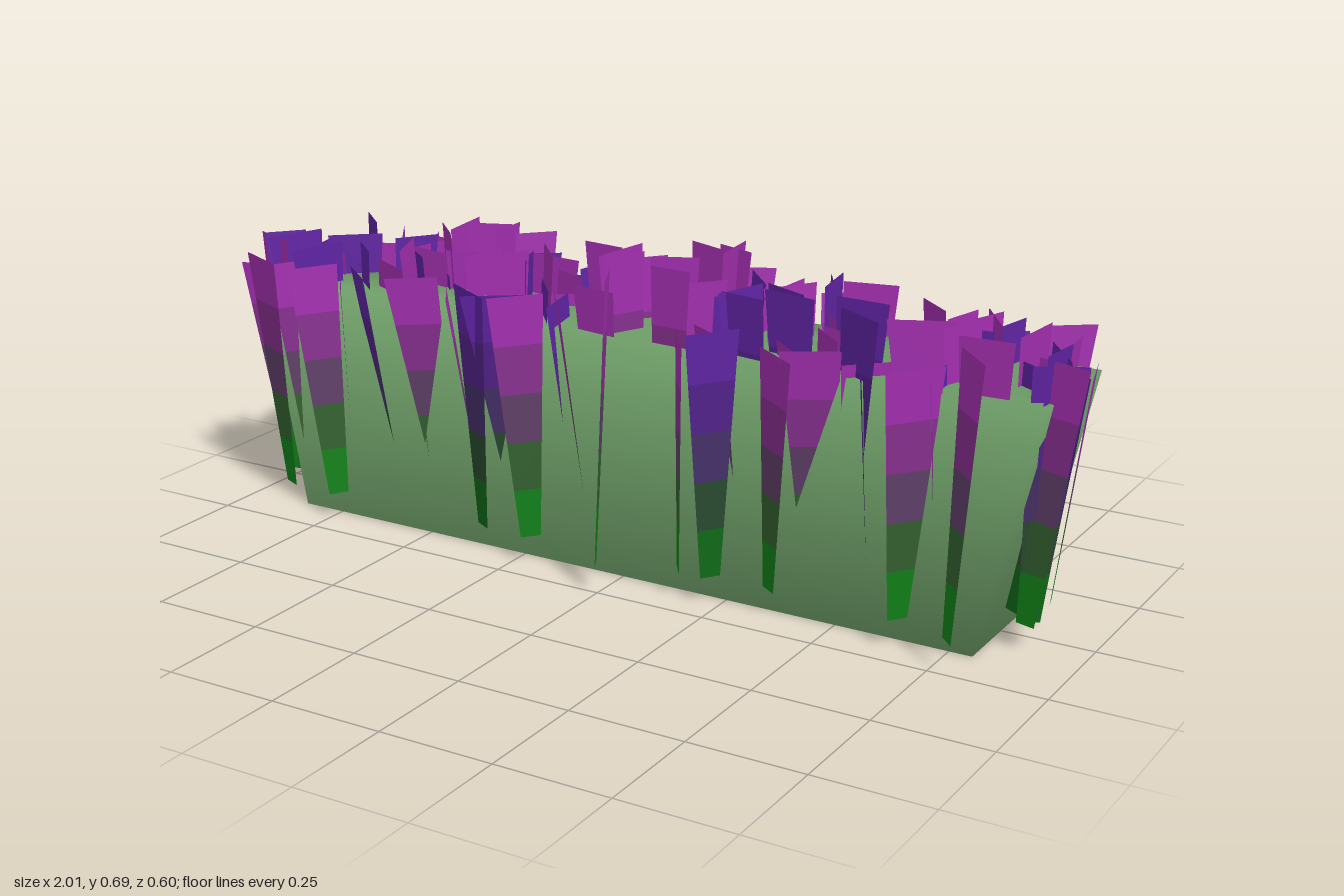
import * as THREE from 'three';
import { mergeGeometries, mergeVertices } from 'three/addons/utils/BufferGeometryUtils.js';

// Small seeded generator for the scatter of the blades
function makeRandom(seed) {
  return () => {
    seed = (seed * 16807) % 2147483647;
    return seed / 2147483647;
  };
}

// Hedge block, shorter at the bottom, shaded smoothly round its corners
function makeHedge() {
  let g = new THREE.BoxGeometry(1, 1, 1);
  g.deleteAttribute('uv');
  g.deleteAttribute('normal');
  g = mergeVertices(g);
  const p = g.attributes.position;
  for (let i = 0; i < p.count; i++) {
    const top = p.getY(i) > 0;
    const x = p.getX(i) > 0 ? (top ? 0.92 : 0.8) : (top ? -0.95 : -0.85);
    p.setXYZ(i, x, top ? 0.525 : 0, p.getZ(i) > 0 ? 0.145 : -0.16);
  }
  g.computeVertexNormals();
  const mesh = new THREE.Mesh(g, new THREE.MeshStandardMaterial({ color: 0x77aa70 }));
  mesh.name = 'hedge';
  return mesh;
}

// A flat blade with a narrow foot and a wide top edge turned by angle
function makeBlade(xb, zb, xt, zt, height, angle, wide) {
  return {
    base: new THREE.Vector3(xb, 0.06, zb),
    top: new THREE.Vector3(xt, height, zt),
    across: new THREE.Vector3(Math.cos(angle), 0, Math.sin(angle)),
    wide
  };
}

// One band of a blade, between fractions t0 and t1 of its height
function bladeBand({ base, top, across, wide }, t0, t1) {
  const at = (side, t) => base.clone().lerp(top, t)
    .addScaledVector(across, THREE.MathUtils.lerp(0.045, wide, t) / 2 * side);
  const g = new THREE.BufferGeometry().setFromPoints([at(-1, t0), at(1, t0), at(1, t1), at(-1, t1)]);
  g.setIndex([0, 1, 2, 0, 2, 3]);
  g.computeVertexNormals();
  return g;
}

export function createModel() {
  const group = new THREE.Group();
  group.add(makeHedge());
  const random = makeRandom(4711);
  const spread = (r) => (random() * 2 - 1) * r;
  const blades = [];

  // Rows along the long sides: feet at zFoot, tops at zTop, leaning outward from the middle
  const addRow = (tops, zFoot, zTop) => tops.forEach((x, i) => {
    const angle = (i % 2 ? -1 : 1) * (0.4 + random() * 0.7);
    blades.push(makeBlade(x * 0.96, zFoot, x, zTop + spread(0.015),
      0.55 + random() * 0.06, angle, 0.11 + random() * 0.03));
  });
  addRow([-0.9, -0.76, -0.35, -0.22, 0.16, 0.24, 0.38, 0.68], 0.18, 0.2);
  addRow([-0.64, -0.5, -0.4, -0.29, -0.12, 0.45, 0.57], 0.1, 0.195);
  addRow([-0.83, 0.08, 0.29, 0.83], -0.18, -0.235);
  addRow([-0.7, -0.5, -0.38, -0.04, 0.13, 0.36, 0.61, 0.68], -0.125, -0.19);

  // Tall upright blades at the front, then the blades that fan out past each end
  blades.push(makeBlade(-0.01, 0.24, 0.03, 0.25, 0.69, 1.1, 0.12));
  blades.push(makeBlade(0.78, 0.23, 0.81, 0.23, 0.64, 0.8, 0.12));
  [-0.07, 0.03, 0.1].forEach((z, i) => {
    blades.push(makeBlade(-0.93, z * 0.9, -0.945, z, 0.56 + i * 0.025, 1.4 - i * 0.5, 0.12));
    blades.push(makeBlade(0.88, z * 0.8, 0.94, z, 0.55 + i * 0.03, 1.3 - i * 0.5, 0.12));
  });

  // Five clumps of inner blades that rise out of the top of the hedge
  const clumps = [[-0.77, 0.615], [-0.4, 0.655], [-0.02, 0.69], [0.38, 0.655], [0.74, 0.64]];
  clumps.forEach(([cx, tall]) => {
    for (let i = 0; i < 20; i++) {
      const dx = spread(0.19), z = spread(0.15);
      const height = i % 3 === 0 ? tall : 0.55 + random() * (tall - 0.56);
      blades.push(makeBlade(cx + dx * 0.75, z * 0.75, cx + dx, z, height,
        random() * Math.PI, 0.09 + random() * 0.05));
    }
  });

  // Each blade runs from a green foot to a purple tip in one of two tones
  const tones = [
    ['magentaBlades', [0x118018, 0x33602f, 0x5f3f68, 0x87308f, 0xa32fb0]],
    ['violetBlades', [0x0f6a18, 0x2a4a30, 0x46306a, 0x53228a, 0x6024a4]]
  ];
  tones.forEach(([name, colors], tone) => {
    const set = new THREE.Group();
    set.name = name;
    const own = blades.filter((_, i) => (i % 3 === 2) === (tone === 1));
    const n = colors.length;
    colors.forEach((color, k) => {
      const g = mergeGeometries(own.map((b) => bladeBand(b, k / n, (k + 1) / n)));
      const mesh = new THREE.Mesh(g, new THREE.MeshStandardMaterial({ color, side: THREE.DoubleSide }));
      mesh.name = k === 0 ? 'bladeFeet' : k === n - 1 ? 'bladeTips' : 'bladeBand' + k;
      set.add(mesh);
    });
    group.add(set);
  });
  return group;
}
